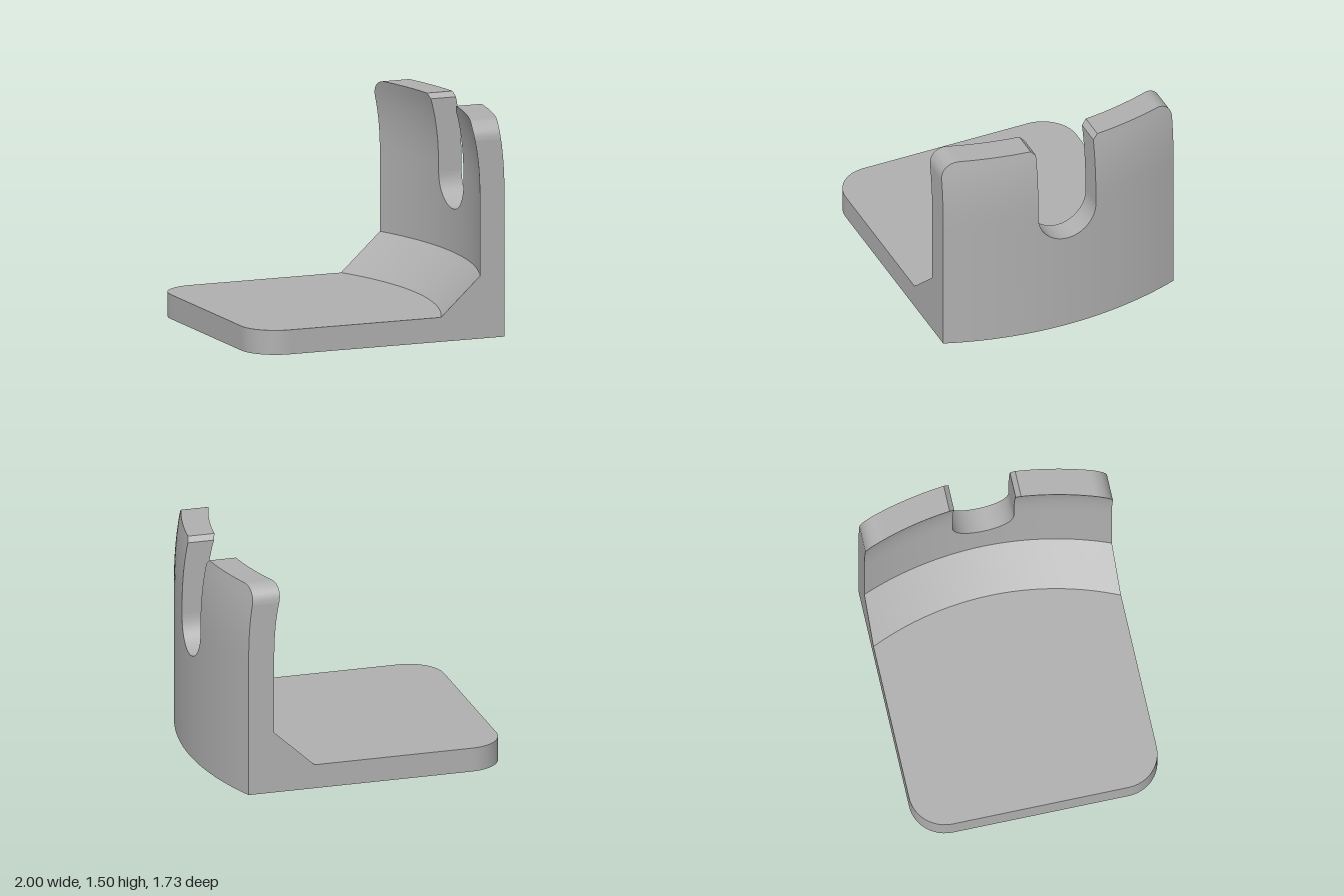
import * as THREE from 'three';
import { toCreasedNormals } from 'three/addons/utils/BufferGeometryUtils.js';

const HALF = 0.865, HEIGHT = 1.5, PLATE = 0.17;
const SLOT = 0.215, SLOT_Y = 0.95, SLOT_CHAMFER = 0.035;
const PLATE_R = 0.25, TOP_R = 0.125;
const AXIS = -1.49, R_OUT = 2.49, R_IN = 2.32, R_FOOT = 2.055;
const FILLET_TOP = PLATE + R_IN - R_FOOT;

// x on an arc about the vertical axis, and the inward lean near the top
const arcX = (r, z) => AXIS + Math.sqrt(r * r - z * z);
const lean = (y) => Math.pow(Math.max(0, y - SLOT_Y) / (HEIGHT - SLOT_Y), 2.5);
const outerX = (z, y) => arcX(R_OUT, z) - 0.05 * lean(y);
const innerX = (z, y) => arcX(R_IN, z) - 0.068 * lean(y);

// Left edge of the base plate with its rounded corners
function plateX(z) {
  const d = Math.max(0, Math.abs(z) - (HALF - PLATE_R));
  return -1 + PLATE_R - Math.sqrt(Math.max(0, PLATE_R * PLATE_R - d * d));
}

// Top of the wall: slot chamfer, flat, rounded outer corner
function wallTop(z) {
  const a = Math.abs(z);
  if (a < SLOT + SLOT_CHAMFER) return HEIGHT - (SLOT + SLOT_CHAMFER - a);
  const d = Math.max(0, a - (HALF - TOP_R));
  return HEIGHT - TOP_R + Math.sqrt(Math.max(0, TOP_R * TOP_R - d * d));
}
const slotBottom = (z) => SLOT_Y - Math.sqrt(Math.max(0, SLOT * SLOT - z * z));

// Heights from y0 to y1
const steps = (y0, y1, n) => Array.from({ length: n + 1 }, (_, i) => y0 + (y1 - y0) * i / n);

// L-shaped cross-section at z, counter-clockwise
function section(z, top) {
  const rows = steps(0.73, top, 14);
  return [
    [plateX(z), 0], [outerX(z, 0), 0], [outerX(z, FILLET_TOP), FILLET_TOP],
    ...rows.map((y) => [outerX(z, y), y]),
    ...rows.reverse().map((y) => [innerX(z, y), y]),
    [innerX(z, FILLET_TOP), FILLET_TOP], [arcX(R_FOOT, z), PLATE], [plateX(z), PLATE],
  ];
}

// Skin over cross-sections taken at increasing z
function loft(zs, topAt, out) {
  const loops = zs.map((z) => section(z, topAt(z)).map(([x, y]) => [x, y, z]));
  for (let k = 0; k + 1 < loops.length; k++) {
    const n = loops[k].length;
    for (let i = 0; i < n; i++) {
      const j = (i + 1) % n;
      const a = loops[k][i], b = loops[k][j], c = loops[k + 1][j], d = loops[k + 1][i];
      out.push(...a, ...b, ...c, ...a, ...c, ...d);
    }
  }
}

// Flat face in a plane of constant z, facing +z or -z
function flatFace(points, z, facing) {
  const g = new THREE.ShapeGeometry(new THREE.Shape(points.map(([x, y]) => new THREE.Vector2(x, y))));
  if (facing < 0) {
    g.setIndex(Array.from(g.index.array).reverse());
    g.computeVertexNormals();
  }
  return g.translate(0, 0, z);
}

export function createModel() {
  const group = new THREE.Group();
  const grey = new THREE.MeshStandardMaterial({ color: 0xb0b0b0 });
  grey.name = 'plain grey';
  const add = (name, geometry) => {
    const mesh = new THREE.Mesh(geometry, grey);
    mesh.name = name;
    group.add(mesh);
  };

  // Section positions, denser round the corners
  const arc = (start, r, n) => steps(0, Math.PI / 2, n).map((t) => start + r * Math.sin(t));
  const side = [SLOT, SLOT + SLOT_CHAMFER, 0.32, 0.4, 0.48, 0.55,
    ...arc(HALF - PLATE_R, PLATE_R, 12), ...arc(HALF - TOP_R, TOP_R, 10)]
    .sort((a, b) => a - b).filter((z, i, list) => i === 0 || z - list[i - 1] > 1e-5);
  const middle = steps(-Math.PI / 2, Math.PI / 2, 28).map((t) => SLOT * Math.sin(t));

  // Plate, fillet and curved wall
  const verts = [];
  loft(side.map((z) => -z).reverse(), wallTop, verts);
  loft(middle, slotBottom, verts);
  loft(side, wallTop, verts);
  const body = new THREE.BufferGeometry();
  body.setAttribute('position', new THREE.Float32BufferAttribute(verts, 3));
  add('bracketBody', toCreasedNormals(body, 0.5));

  // Side ends and slot walls, mirrored
  const slotRows = steps(SLOT_Y, wallTop(SLOT), 14);
  const slotWall = [
    ...slotRows.map((y) => [outerX(SLOT, y), y]),
    ...slotRows.slice().reverse().map((y) => [innerX(SLOT, y), y]),
  ];
  for (const s of [1, -1]) {
    const label = s > 0 ? 'front' : 'back';
    add(label + 'EndFace', flatFace(section(HALF, wallTop(HALF)), s * HALF, s));
    add(label + 'SlotWall', flatFace(slotWall, s * SLOT, -s));
  }
  return group;
}
